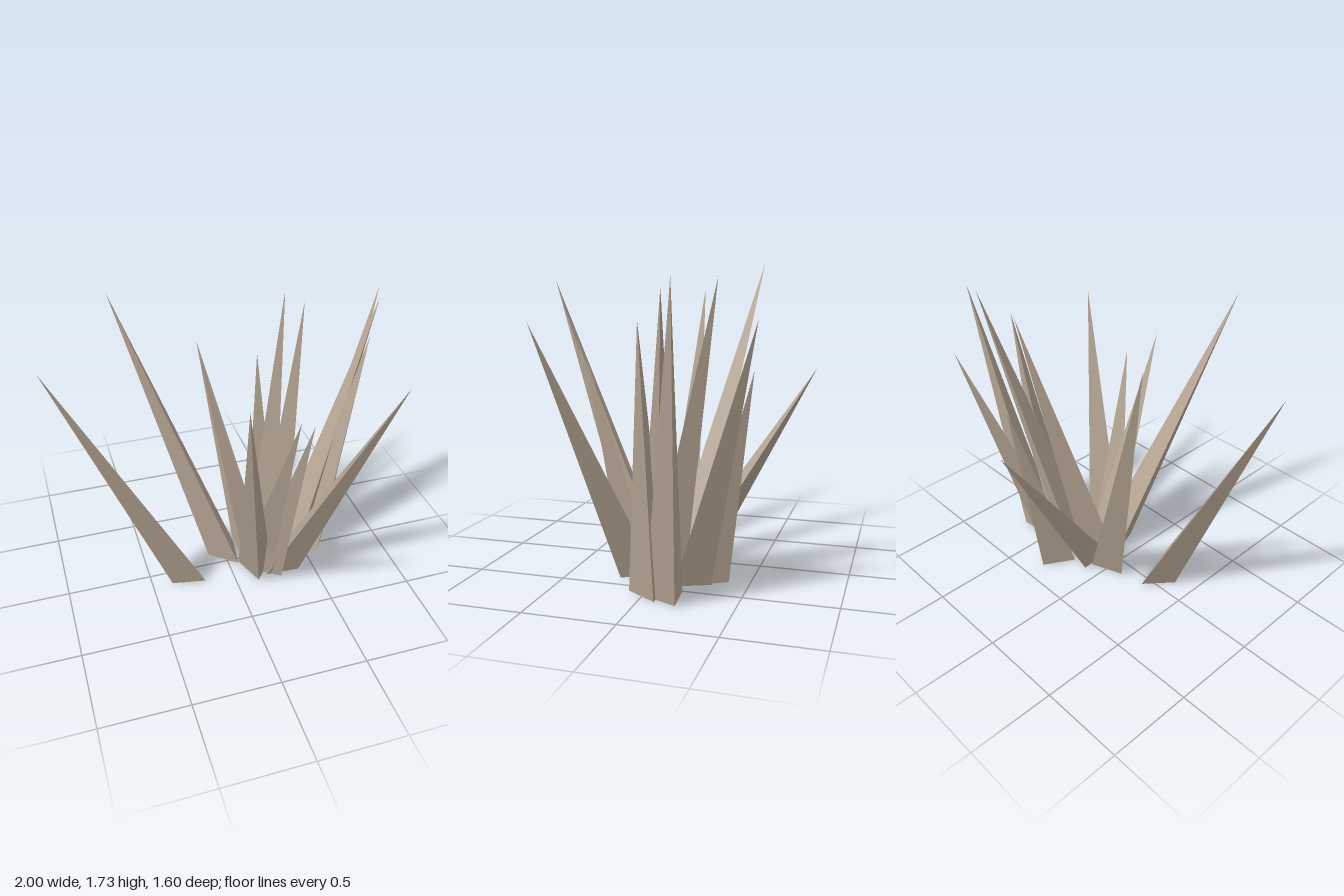
import * as THREE from 'three';

const BASE_RADIUS = 0.117;

// Each blade: base centre x, z; heading of one base corner in degrees; tip x, y, z
const BLADES = [
  [-0.27, 0.057, 160, -1.0, 1.57, 0.09],
  [0.017, -0.069, 189, -0.56, 1.73, -0.4],
  [0.16, -0.113, 238, 0.04, 1.15, -0.8],
  [0.3, -0.268, 270, 0.35, 1.16, -0.52],
  [0.355, -0.188, 276, 0.68, 1.43, -0.6],
  [0.205, -0.007, 281, 0.45, 1.63, -0.35],
  [0.61, -0.133, -35, 1.0, 1.63, -0.27],
  [0.444, -0.027, -17, 0.985, 1.58, -0.22],
  [0.577, -0.027, -27, 0.87, 1.43, -0.07],
  [0.303, 0.137, 33, 0.83, 1.41, 0.51],
  [0.23, 0.123, 65, 0.36, 1.2, 0.4],
  [0.197, 0.057, 71, 0.23, 1.32, 0.52],
  [0.155, 0.105, 100, -0.14, 1.62, 0.8],
];

// Three-sided spike with a level base, sheared so its point reaches the tip
function bladeGeometry(cx, cz, heading, tx, ty, tz) {
  const cone = new THREE.ConeGeometry(BASE_RADIUS, ty, 3, 1);
  cone.translate(0, ty / 2, 0);
  cone.rotateY(THREE.MathUtils.degToRad(90 - heading));
  cone.applyMatrix4(new THREE.Matrix4().set(
    1, (tx - cx) / ty, 0, cx,
    0, 1, 0, 0,
    0, (tz - cz) / ty, 1, cz,
    0, 0, 0, 1
  ));
  const flat = cone.toNonIndexed();
  flat.computeVertexNormals();
  return flat;
}

export function createModel() {
  const group = new THREE.Group();
  group.name = 'dryGrassTuft';
  const straw = new THREE.MeshStandardMaterial({ color: 0xb5a593, flatShading: true });
  straw.name = 'dryStraw';

  BLADES.forEach((blade, i) => {
    const mesh = new THREE.Mesh(bladeGeometry(...blade), straw);
    mesh.name = `blade${i + 1}`;
    group.add(mesh);
  });
  return group;
}
